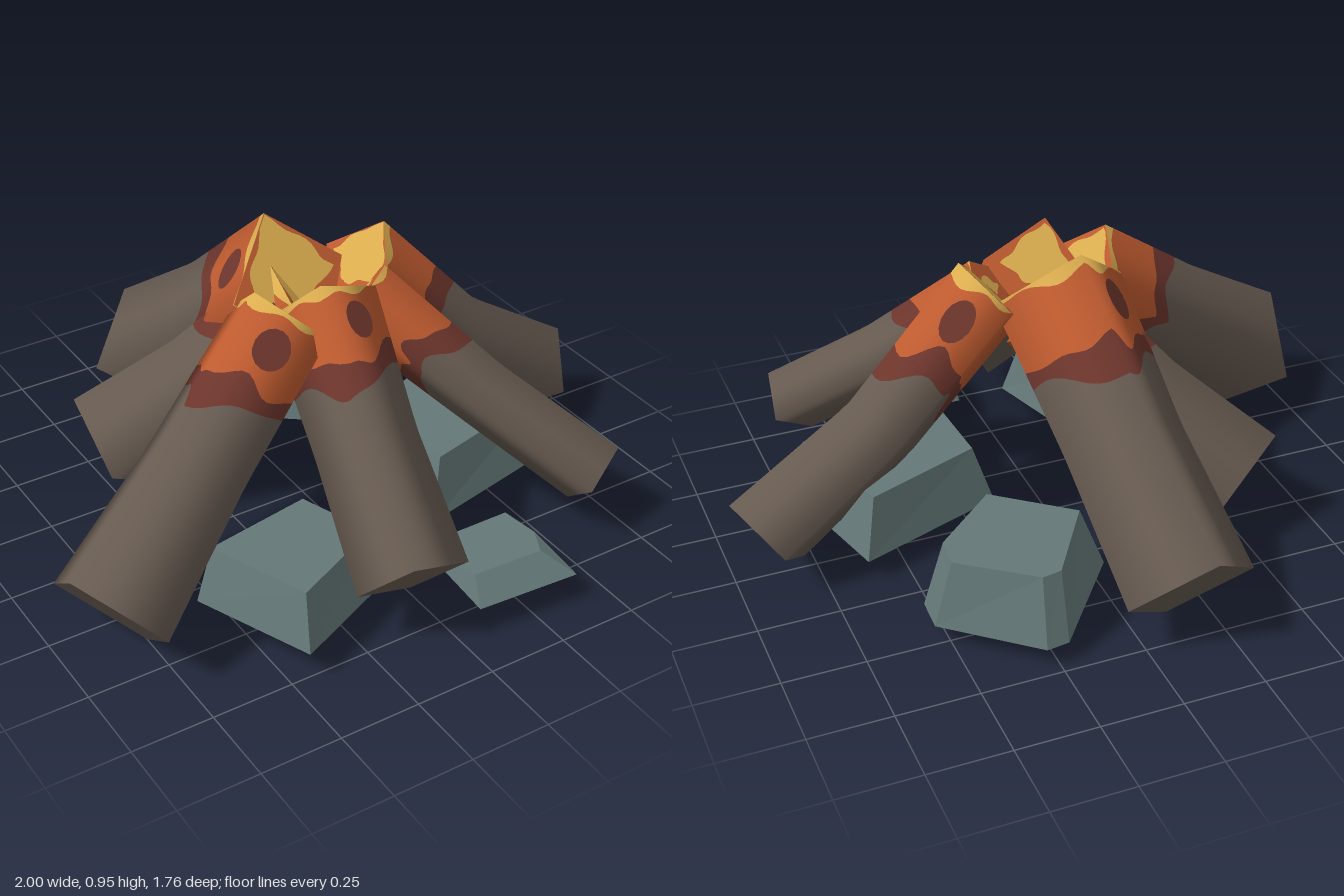
import * as THREE from 'three';

const mat = (name, color, side = THREE.FrontSide) =>
  Object.assign(new THREE.MeshStandardMaterial({ color, side }), { name });

// Grid surface: point(q, v) with q in 0..4 around the log and v in 0..1
function surface(point, normal, cols, rows) {
  const pos = [], nor = [], idx = [];
  for (let j = 0; j <= rows; j++) {
    for (let i = 0; i <= cols; i++) {
      const q = (4 * i) / cols;
      pos.push(...point(q, j / rows).toArray());
      nor.push(...normal(q).toArray());
    }
  }
  for (let j = 0; j < rows; j++) {
    for (let i = 0; i < cols; i++) {
      const a = j * (cols + 1) + i, b = a + cols + 1;
      idx.push(a, a + 1, b + 1, a, b + 1, b);
    }
  }
  const g = new THREE.BufferGeometry();
  g.setAttribute('position', new THREE.Float32BufferAttribute(pos, 3));
  g.setAttribute('normal', new THREE.Float32BufferAttribute(nor, 3));
  g.setIndex(idx);
  return g;
}

// Four-sided log, one ridge on top, burnt towards its upper end
function makeLog({ name, from, to, r0, r1, roll = 0, sag = 0.015, glow = 0.7, seed }, m) {
  const A = new THREE.Vector3(...from), B = new THREE.Vector3(...to);
  const axis = B.clone().sub(A).normalize();
  const up = new THREE.Vector3(0, 1, 0).addScaledVector(axis, -axis.y).normalize();
  const side = axis.clone().cross(up);
  const corner = (k) => {
    const t = roll + (k * Math.PI) / 2;
    return up.clone().multiplyScalar(Math.cos(t)).addScaledVector(side, Math.sin(t));
  };
  const section = (q) => corner(Math.floor(q)).lerp(corner(Math.floor(q) + 1), q % 1);
  const centre = (t) => {
    const c = A.clone().lerp(B, t);
    c.y -= sag * (1 - Math.abs(2 * t - 1));
    return c;
  };
  const radius = (t) => (r0 + (r1 - r0) * t) * (1 - 0.08 * (1 - Math.abs(2 * t - 1)));
  const at = (q, t, f = 1) => centre(t).addScaledVector(section(q), radius(t) * f);
  const radial = (q) => section(q).normalize();

  // Ragged colour borders along the log, with a tongue on the top and bottom ridges
  const wave = (q, n, p) => Math.sin((q * Math.PI * n) / 2 + seed * p);
  const tongue = (q) => Math.abs(Math.cos((q * Math.PI) / 2)) ** 3;
  const charStart = (q) => 0.715 - 0.1 * tongue(q) + 0.012 * wave(q, 5, 1.7);
  const emberStart = (q) =>
    charStart(q) + 0.065 + 0.05 * tongue(q) + 0.02 * wave(q, 3, 2.3) + 0.01 * wave(q, 7, 1.1);
  const glowStart = (q) =>
    Math.min(0.999, 1.005 - glow * 0.06 * Math.cos((q * Math.PI) / 2) + 0.012 * wave(q, 6, 1.3));
  const glowEdge = (q) =>
    Math.min(0.98, glow + 0.27 * Math.cos((q * Math.PI) / 2) + 0.05 * wave(q, 7, 0.9));

  const group = new THREE.Group();
  group.name = name;
  const add = (part, geo, material) => {
    const mesh = new THREE.Mesh(geo, material);
    mesh.name = part;
    group.add(mesh);
  };
  const band = (part, lo, hi, rows, material) =>
    add(part, surface((q, v) => at(q, lo(q) + (hi(q) - lo(q)) * v), radial, 48, rows), material);
  band('bark', () => 0, charStart, 12, m.bark);
  band('charredBand', charStart, emberStart, 2, m.char);
  band('emberBand', emberStart, glowStart, 4, m.ember);
  band('glowingRim', glowStart, () => 1, 1, m.glow);

  // End faces
  const out = () => axis, back = () => axis.clone().negate();
  add('lowerEnd', surface((q, v) => at(q, 0, v), back, 4, 1), m.bark);
  add('upperEndRim', surface((q, v) => at(q, 1, 1 + (glowEdge(q) - 1) * v), out, 48, 1), m.ember);
  add('upperEndGlow', surface((q, v) => at(q, 1, glowEdge(q) * (1 - v)), out, 48, 1), m.glow);

  // Charred oval lying on one flat side
  const n = corner(0).add(corner(1)).normalize();
  const spot = (q, v) => {
    const a = (q * Math.PI) / 2, s = 1 - v;
    return at(0.5 + 0.22 * s * Math.cos(a), 0.88 + 0.066 * s * Math.sin(a)).addScaledVector(n, 0.005);
  };
  add('charSpot', surface(spot, () => n, 16, 1), m.char);
  return group;
}

// Hollow-bottomed stone: base outline and top outline as [x, z] corners
function makeStone({ name, y0, y1, base, top }, material) {
  const pos = [], n = base.length;
  const lo = base.map(([x, z]) => [x, y0, z]), hi = top.map(([x, z]) => [x, y1, z]);
  for (let i = 0; i < n; i++) {
    const k = (i + 1) % n;
    pos.push(...lo[i], ...lo[k], ...hi[k], ...lo[i], ...hi[k], ...hi[i]);
    if (i > 0 && k > 0) pos.push(...hi[0], ...hi[i], ...hi[k]);
  }
  const g = new THREE.BufferGeometry();
  g.setAttribute('position', new THREE.Float32BufferAttribute(pos, 3));
  g.computeVertexNormals();
  const mesh = new THREE.Mesh(g, material);
  mesh.name = name;
  return mesh;
}

export function createModel() {
  const m = {
    bark: mat('bark brown', 0x665a50),
    char: mat('charred red', 0x6c352c),
    ember: mat('ember orange', 0xbd5a2f),
    glow: mat('glow yellow', 0xdbad4f),
    stone: mat('stone grey', 0x647978, THREE.DoubleSide),
  };
  const model = new THREE.Group();
  model.name = 'campfire';

  const logs = [
    { name: 'backLog', from: [-0.135, 0.185, -0.755], to: [-0.04, 0.785, 0.01], r0: 0.21, r1: 0.215, seed: 1 },
    { name: 'leftSideLog', from: [0.89, 0.16, 0.005], to: [0.16, 0.8, 0.045], r0: 0.163, r1: 0.15, sag: 0.06, glow: 0.75, seed: 2 },
    { name: 'rightSideLog', from: [-0.875, 0.183, 0.405], to: [-0.155, 0.745, 0.13], r0: 0.22, r1: 0.175, roll: -0.06, sag: 0, glow: 0.65, seed: 3 },
    { name: 'frontLog', from: [-0.125, 0.235, 0.78], to: [-0.03, 0.78, 0.15], r0: 0.163, r1: 0.165, roll: -0.3, glow: 0.65, seed: 4 },
    { name: 'frontLeftLog', from: [0.645, 0.21, 0.62], to: [0.12, 0.745, 0.12], r0: 0.115, r1: 0.125, roll: 0.1, glow: 0.3, seed: 5 },
    { name: 'backRightLog', from: [-0.485, 0.205, -0.29], to: [0, 0.715, 0.03], r0: 0.2, r1: 0.17, seed: 6 },
  ];
  for (const log of logs) model.add(makeLog(log, m));

  const stones = [
    {
      name: 'backStone', y0: 0.07, y1: 0.278,
      base: [[-0.02, -0.4], [0.29, -0.16], [0.54, -0.39], [0.545, -0.5], [0.29, -0.72], [0.22, -0.71]],
      top: [[0.06, -0.4], [0.28, -0.22], [0.48, -0.4], [0.49, -0.5], [0.28, -0.66], [0.22, -0.65]],
    },
    {
      name: 'sideStone', y0: 0.08, y1: 0.27,
      base: [[0.17, 0.02], [0.2, 0.43], [0.75, 0.31], [0.63, -0.15]],
      top: [[0.23, 0.04], [0.25, 0.38], [0.7, 0.27], [0.59, -0.1]],
    },
    {
      name: 'frontStone', y0: 0.1, y1: 0.27,
      base: [[-0.6, 0.4], [-0.45, 0.765], [-0.08, 0.6], [-0.17, 0.3]],
      top: [[-0.55, 0.4], [-0.43, 0.71], [-0.13, 0.57], [-0.21, 0.34]],
    },
    {
      name: 'smallStone', y0: 0.1, y1: 0.17,
      base: [[0.08, 0.58], [0.06, 0.855], [0.39, 0.875], [0.385, 0.75], [0.375, 0.58]],
      top: [[0.1, 0.6], [0.085, 0.79], [0.31, 0.8], [0.35, 0.72], [0.335, 0.6]],
    },
  ];
  for (const stone of stones) model.add(makeStone(stone, m.stone));
  return model;
}
